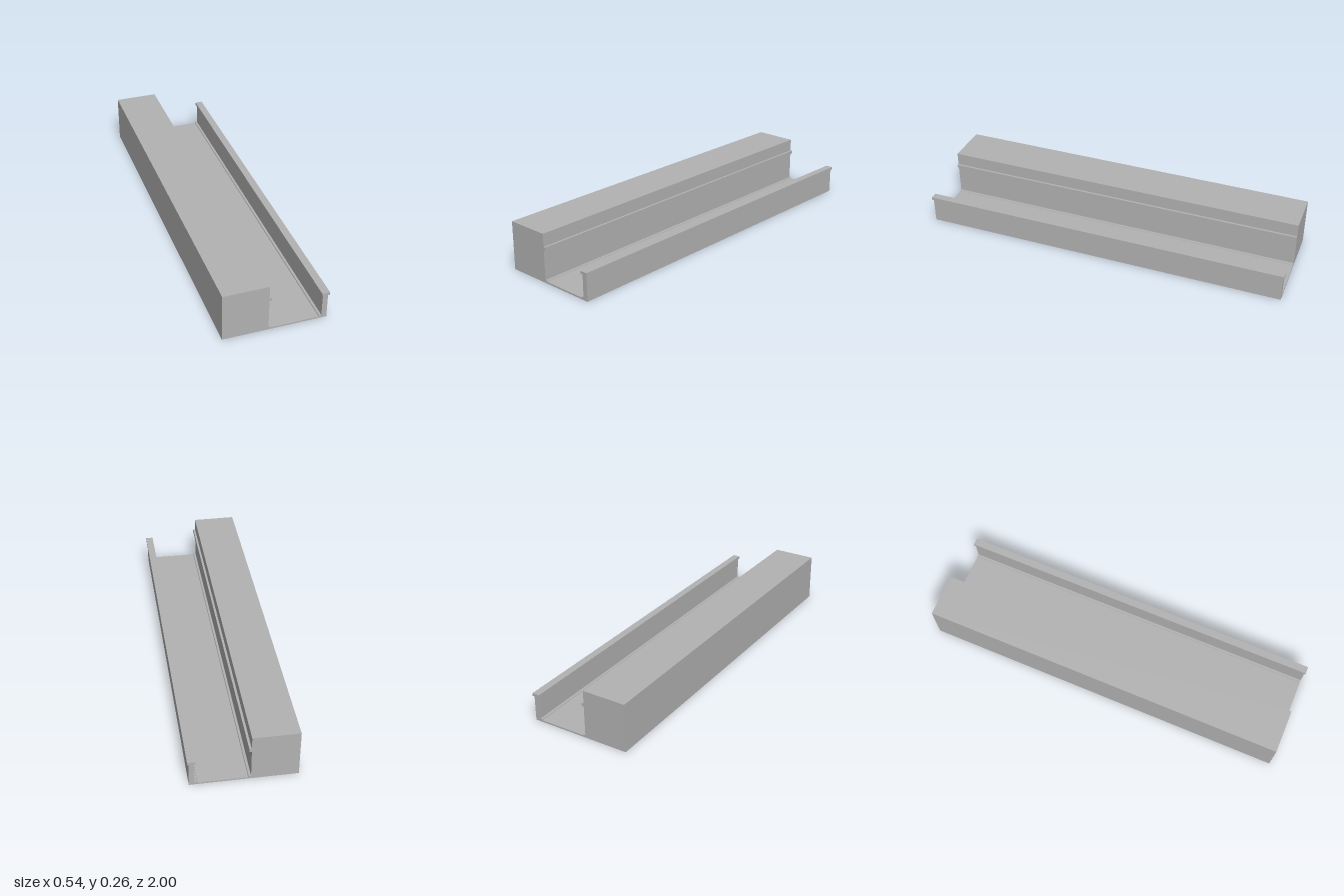
import * as THREE from 'three';

const BODY_LENGTH = 1.988;

// Extrudes a front-facing outline along z, centred on z = 0
function extrudeProfile(name, points, length, material) {
  const shape = new THREE.Shape(points.map(([x, y]) => new THREE.Vector2(x, y)));
  const geometry = new THREE.ExtrudeGeometry(shape, { depth: length, bevelEnabled: false });
  geometry.translate(0, 0, -length / 2);
  const mesh = new THREE.Mesh(geometry, material);
  mesh.name = name;
  return mesh;
}

export function createModel() {
  const model = new THREE.Group();
  model.name = 'channelCurb';
  const grey = new THREE.MeshStandardMaterial({ color: 0xb2b2b2 });
  grey.name = 'concreteGrey';

  // Tall block with the small ledge along its inner side
  model.add(extrudeProfile('tallBlock', [
    [-0.272, 0], [-0.037, 0], [-0.037, 0.175], [-0.025, 0.175],
    [-0.025, 0.192], [-0.037, 0.192], [-0.037, 0.261], [-0.272, 0.261],
  ], BODY_LENGTH, grey));

  // Channel floor with raised corner strips, rising into the low wall
  model.add(extrudeProfile('floorAndLowWall', [
    [-0.037, 0], [0.265, 0], [0.265, 0.138], [0.238, 0.138],
    [0.238, 0.015], [0.226, 0.015], [0.224, 0.009],
    [-0.023, 0.009], [-0.025, 0.015], [-0.037, 0.015],
  ], BODY_LENGTH, grey));

  // Overhanging cap on the low wall, slightly longer than the body
  const cap = new THREE.Mesh(new THREE.BoxGeometry(0.04, 0.015, 2), grey);
  cap.name = 'wallCap';
  cap.position.set(0.252, 0.1455, 0);
  model.add(cap);

  return model;
}
